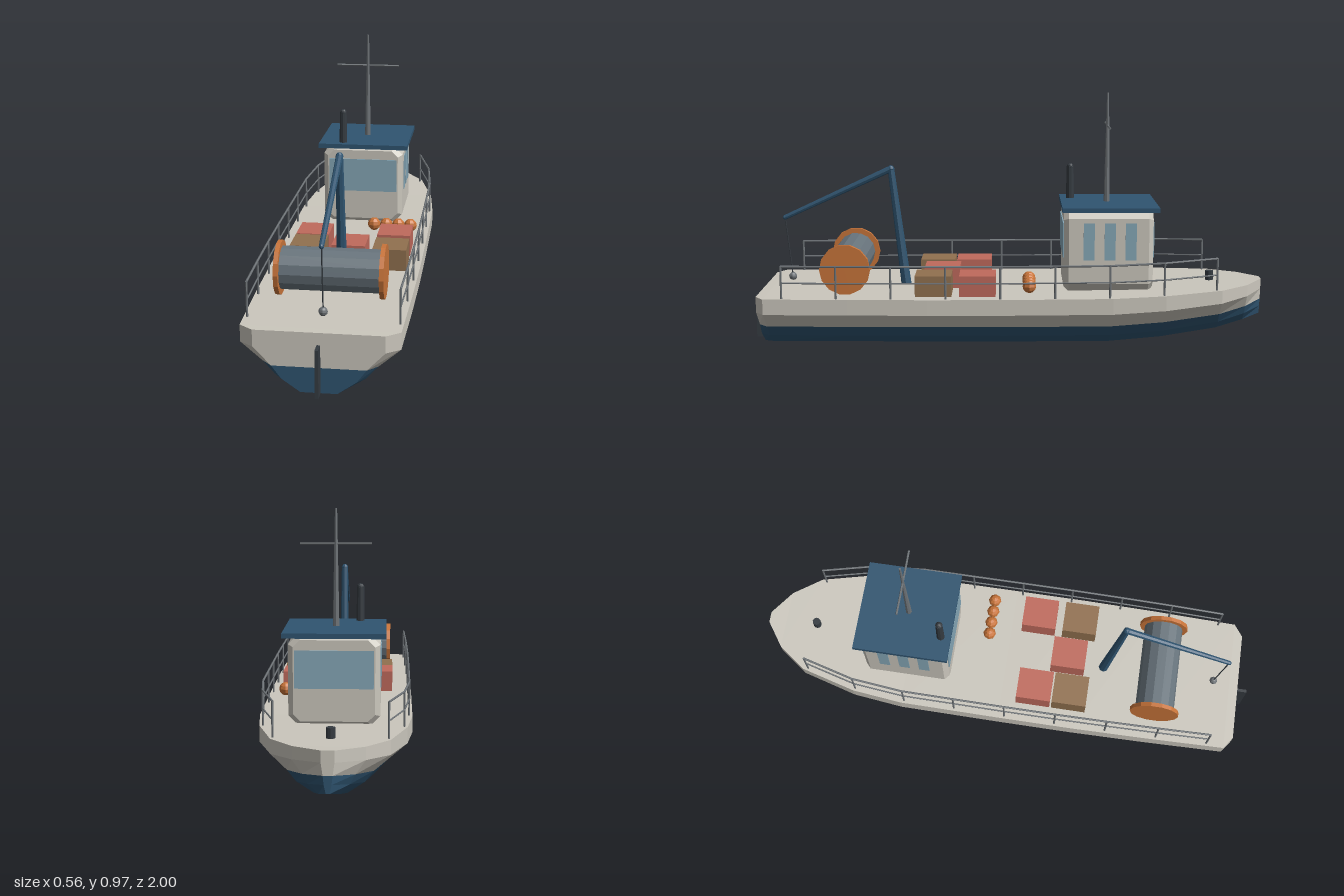
import * as THREE from 'three';

const mat = (color, extra = {}) => new THREE.MeshStandardMaterial({ color, flatShading: true, ...extra });
const M = {
  cream: mat(0xcbc7bd), blue: mat(0x2f5470), dark: mat(0x353b41), grey: mat(0x6e7377),
  drum: mat(0x68747c), orange: mat(0xc8743a), red: mat(0xbf6a5c), brown: mat(0x91704f), glass: mat(0x86a8b8),
};

// Hull stations from stern to bow: z, half width, keel height, deck height
const STATIONS = [
  [0.955, 0.22, 0, 0.213], [0.92, 0.268, 0, 0.214], [0.6, 0.276, 0, 0.215], [0.3, 0.28, 0, 0.215],
  [0, 0.28, 0, 0.216], [-0.4, 0.278, 0.003, 0.22], [-0.6, 0.258, 0.02, 0.226], [-0.82, 0.2, 0.052, 0.234],
  [-0.93, 0.12, 0.08, 0.238], [-1, 0.022, 0.1, 0.242],
];
// Half cross-section from keel to deck edge: width fraction, height fraction
const SECTION = [[0.28, 0], [0.57, 0.21], [0.72, 0.42], [1, 0.72], [1, 1]];

// Width and deck height at any z
function deckAt(z) {
  for (let i = 0; i < STATIONS.length - 1; i++) {
    const a = STATIONS[i], b = STATIONS[i + 1];
    if (z <= a[0] && z >= b[0]) {
      const t = (a[0] - z) / (a[0] - b[0]);
      return { w: a[1] + (b[1] - a[1]) * t, y: a[3] + (b[3] - a[3]) * t };
    }
  }
  return { w: 0, y: 0 };
}

// Skin a band of the hull; path lists [side, section index] around the section
function hullBand(path) {
  const rings = STATIONS.map(([z, w, k, d]) => path.map(([s, i]) =>
    [s * w * SECTION[i][0], k + (d - k) * SECTION[i][1], z]));
  const pos = [];
  const tri = (a, b, c) => pos.push(...a, ...b, ...c);
  for (let j = 0; j < rings.length - 1; j++) {
    const a = rings[j], b = rings[j + 1];
    for (let i = 0; i < path.length - 1; i++) {
      tri(a[i], b[i], b[i + 1]);
      tri(a[i], b[i + 1], a[i + 1]);
    }
  }
  const stern = rings[0], bow = rings[rings.length - 1];
  for (let i = 1; i < path.length - 1; i++) {
    tri(stern[0], stern[i], stern[i + 1]);
    tri(bow[0], bow[i + 1], bow[i]);
  }
  const g = new THREE.BufferGeometry();
  g.setAttribute('position', new THREE.Float32BufferAttribute(pos, 3));
  g.computeVertexNormals();
  return g;
}

export function createModel() {
  const root = new THREE.Group();
  root.name = 'workBoat';

  const add = (name, geo, material, x = 0, y = 0, z = 0, parent = root) => {
    const m = new THREE.Mesh(geo, material);
    m.name = name;
    m.position.set(x, y, z);
    parent.add(m);
    return m;
  };
  const box = (name, w, h, d, material, x, y, z, parent) =>
    add(name, new THREE.BoxGeometry(w, h, d), material, x, y, z, parent);
  // Tapered rod between two points
  const rod = (name, p, q, r0, r1, material, sides = 8, parent = root) => {
    const a = new THREE.Vector3(...p), b = new THREE.Vector3(...q);
    const dir = b.clone().sub(a);
    const m = add(name, new THREE.CylinderGeometry(r1, r0, dir.length(), sides), material, 0, 0, 0, parent);
    m.position.copy(a).add(b).multiplyScalar(0.5);
    m.quaternion.setFromUnitVectors(new THREE.Vector3(0, 1, 0), dir.normalize());
    return m;
  };
  const group = (name) => {
    const g = new THREE.Group();
    g.name = name;
    root.add(g);
    return g;
  };

  // Hull
  add('topsidesAndDeck', hullBand([[1, 2], [1, 3], [1, 4], [-1, 4], [-1, 3], [-1, 2]]), M.cream);
  add('lowerHull', hullBand([[-1, 2], [-1, 1], [-1, 0], [1, 0], [1, 1], [1, 2]]), M.blue);
  box('rudder', 0.012, 0.17, 0.05, M.dark, 0, 0.085, 0.975);

  // Wheelhouse: chamfered profile with bevelled ends
  const cabin = group('wheelhouse');
  const bev = 0.018, w = 0.162 - bev, y0 = 0.215 + bev, y1 = 0.54 - bev, c = 0.025;
  const outline = new THREE.Shape([
    [-w + c, y0], [w - c, y0], [w, y0 + c], [w, y1 - c], [w - c, y1], [-w + c, y1], [-w, y1 - c], [-w, y0 + c],
  ].map(([x, y]) => new THREE.Vector2(x, y)));
  add('cabinWalls', new THREE.ExtrudeGeometry(outline, {
    depth: 0.342 - 2 * bev, bevelEnabled: true, bevelSize: bev, bevelThickness: bev, bevelSegments: 1,
  }), M.cream, 0, 0, -0.56 + bev, cabin);
  box('cabinRoof', 0.364, 0.018, 0.37, M.blue, 0, 0.539, -0.395, cabin);
  for (const z of [-0.217, -0.561]) box('wideWindow', 0.278, 0.135, 0.006, M.glass, 0, 0.418, z, cabin);
  for (const s of [-1, 1])
    for (const z of [-0.313, -0.393, -0.473])
      box('sideWindow', 0.006, 0.144, 0.042, M.glass, s * 0.162, 0.415, z, cabin);

  // Mast and exhaust on the roof
  rod('mast', [0, 0.545, -0.39], [0, 0.972, -0.39], 0.012, 0.004, M.grey, 8);
  rod('mastCrossbar', [-0.128, 0.845, -0.39], [0.128, 0.845, -0.39], 0.004, 0.004, M.grey, 6);
  rod('exhaustPipe', [-0.085, 0.545, -0.25], [-0.085, 0.676, -0.25], 0.016, 0.014, M.dark, 10);
  add('exhaustCap', new THREE.SphereGeometry(0.014, 10, 6), M.dark, -0.085, 0.673, -0.25);

  rod('bowBollard', [0, 0.23, -0.8], [0, 0.27, -0.8], 0.016, 0.016, M.dark, 10);

  // Railings
  for (const s of [-1, 1]) {
    const rail = group(s > 0 ? 'leftRailing' : 'rightRailing');
    const posts = [];
    for (let i = 0; i < 9; i++) {
      const z = 0.85 - i * 0.20625, d = deckAt(z);
      posts.push([s * (d.w - 0.012), d.y, z]);
    }
    const lift = ([x, y, z], h) => [x, y + h, z];
    posts.forEach((p, i) => {
      rod('railPost', p, lift(p, 0.124), 0.004, 0.004, M.grey, 6, rail);
      if (i === 0) return;
      for (const [h, r] of [[0.124, 0.004], [0.06, 0.003]])
        rod('rail', lift(posts[i - 1], h), lift(p, h), r, r, M.grey, 6, rail);
    });
  }

  // Net drum with end flanges
  const drum = group('netDrum');
  const dy = 0.31, dz = 0.62;
  rod('drumBarrel', [-0.185, dy, dz], [0.175, dy, dz], 0.077, 0.077, M.drum, 14, drum);
  for (const x of [-0.188, 0.178])
    rod('drumFlange', [x - 0.008, dy, dz], [x + 0.008, dy, dz], 0.097, 0.097, M.orange, 14, drum);

  // Crane
  const crane = group('crane');
  const top = [0, 0.675, 0.455], tip = [0, 0.482, 0.875];
  rod('cranePost', [0, 0.215, 0.4], top, 0.02, 0.013, M.blue, 8, crane);
  add('craneJoint', new THREE.SphereGeometry(0.014, 8, 6), M.blue, ...top, crane);
  rod('craneBoom', top, tip, 0.013, 0.009, M.blue, 8, crane);
  add('boomTip', new THREE.SphereGeometry(0.009, 8, 6), M.blue, ...tip, crane);
  rod('craneCable', tip, [0, 0.25, 0.85], 0.0025, 0.0025, M.dark, 5, crane);
  add('cableWeight', new THREE.SphereGeometry(0.016, 8, 6), M.grey, 0, 0.246, 0.85, crane);

  // Deck cargo
  const crates = [
    [-0.142, 0.133, M.red], [-0.142, 0.278, M.brown], [0.012, 0.253, M.red],
    [0.168, 0.112, M.red], [0.168, 0.28, M.brown],
  ];
  for (const [x, z, m] of crates) box('crate', 0.126, 0.082, 0.138, m, x, 0.255, z);
  for (let i = 0; i < 4; i++)
    add('float', new THREE.SphereGeometry(0.026, 8, 6), M.orange, 0.063 + i * 0.049, 0.253, -0.085);

  return root;
}
